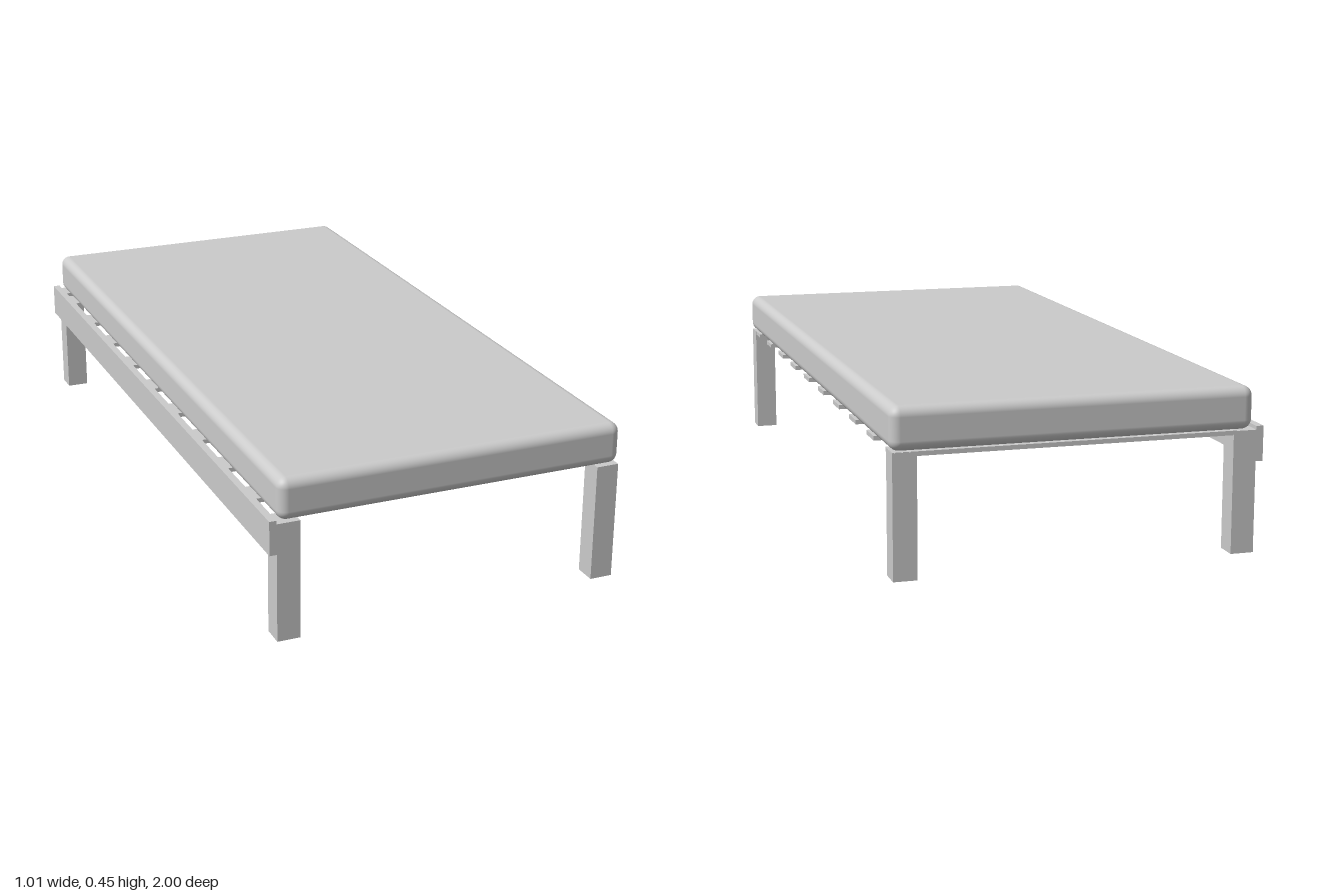
import * as THREE from 'three';
import { RoundedBoxGeometry } from 'three/addons/geometries/RoundedBoxGeometry.js';

export function createModel() {
  const group = new THREE.Group();
  const material = new THREE.MeshStandardMaterial({ color: 0xcccccc });

  const add = (name, geometry, x, y, z) => {
    const mesh = new THREE.Mesh(geometry, material);
    mesh.name = name;
    mesh.position.set(x, y, z);
    group.add(mesh);
  };
  // Box given by its lower and upper limits on each axis
  const box = (name, x0, x1, y0, y1, z0, z1) =>
    add(name, new THREE.BoxGeometry(x1 - x0, y1 - y0, z1 - z0),
      (x0 + x1) / 2, (y0 + y1) / 2, (z0 + z1) / 2);

  // Mattress with softly rounded edges
  add('mattress', new RoundedBoxGeometry(0.981, 0.116, 2, 5, 0.027), 0.0125, 0.391, 0);

  // Four square legs
  for (const [side, x0, x1] of [['right', -0.485, -0.421], ['left', 0.435, 0.499]]) {
    box(side + 'FrontLeg', x0, x1, 0, 0.333, 0.937, 1);
    box(side + 'BackLeg', x0, x1, 0, 0.333, -1, -0.937);
  }

  // Long side rail fixed outside the right legs
  box('sideRail', -0.505, -0.485, 0.248, 0.343, -1, 1);

  // Interleaved slats, alternately reaching the open side and the rail
  const pitch = 0.104, halfWidth = 0.04;
  for (let i = 0; i < 19; i++) {
    const z = 0.905 - i * pitch;
    const [x0, x1] = i % 2 === 0 ? [-0.43, 0.498] : [-0.485, 0.435];
    const back = Math.max(z - halfWidth, -0.999);
    box('slat', x0, x1, 0.322, 0.334, back, z + halfWidth);
  }
  return group;
}
